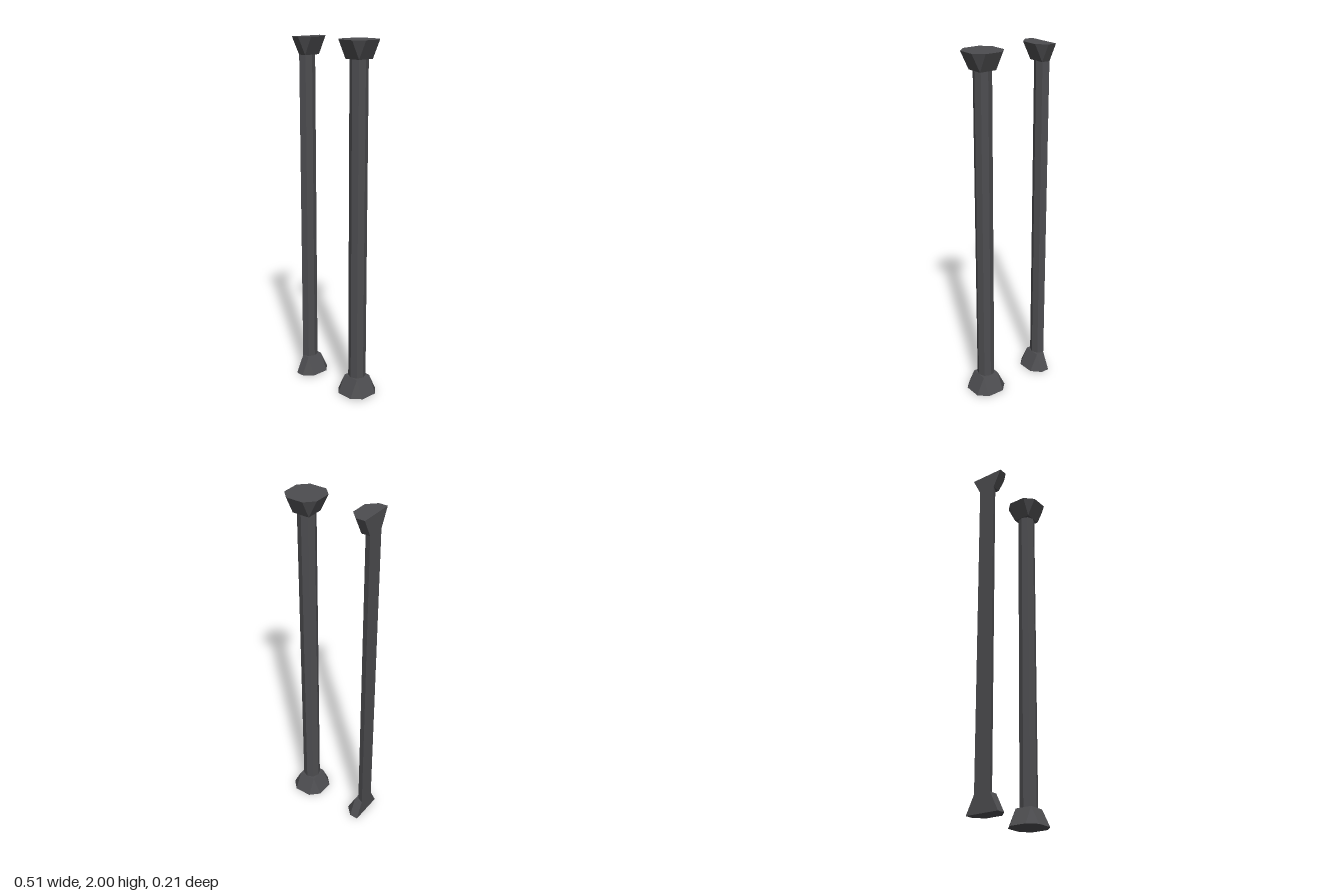
import * as THREE from 'three';
import { ConvexGeometry } from 'three/addons/geometries/ConvexGeometry.js';

const HEIGHT = 2, BLOCK = 0.1, SHAFT_R = 0.05;
const material = new THREE.MeshStandardMaterial({ color: 0x4d4d50, flatShading: true });

// Outlines in plan as [x, z] points
const square = [[0.05, 0.05], [0.05, -0.05], [-0.05, 0.05], [-0.05, -0.05]];
const chamfered = square.flatMap(([x, z]) => [[2 * x, z], [x, 2 * z]]);
const octagon = Array.from({ length: 8 }, (_, i) => {
  const a = (i * Math.PI) / 4;
  return [SHAFT_R * Math.cos(a), SHAFT_R * Math.sin(a)];
});

// Solid between two outlines at two heights; half keeps the +x side with a flat back
function solid(name, outlineA, yA, outlineB, yB, half) {
  const ring = (outline, y) =>
    outline.map(([x, z]) => new THREE.Vector3(half ? Math.max(x, 0) : x, y, z));
  const geometry = new ConvexGeometry([...ring(outlineA, yA), ...ring(outlineB, yB)]);
  const mesh = new THREE.Mesh(geometry, material);
  mesh.name = name;
  return mesh;
}

// Octagonal shaft with a flared foot and a matching capital
function column(name, half) {
  const group = new THREE.Group();
  group.name = name;
  group.add(
    solid('foot', chamfered, 0, square, BLOCK, half),
    solid('shaft', octagon, BLOCK, octagon, HEIGHT - BLOCK, half),
    solid('capital', chamfered, HEIGHT, square, HEIGHT - BLOCK, half)
  );
  return group;
}

export function createModel() {
  const model = new THREE.Group();
  model.name = 'columns';

  // Free-standing column
  const full = column('fullColumn', false);
  full.position.set(0.153, 0, -0.006);

  // Half column with its flat back towards -x
  const half = column('halfColumn', true);
  half.position.set(-0.254, 0, 0.003);

  model.add(full, half);
  return model;
}
